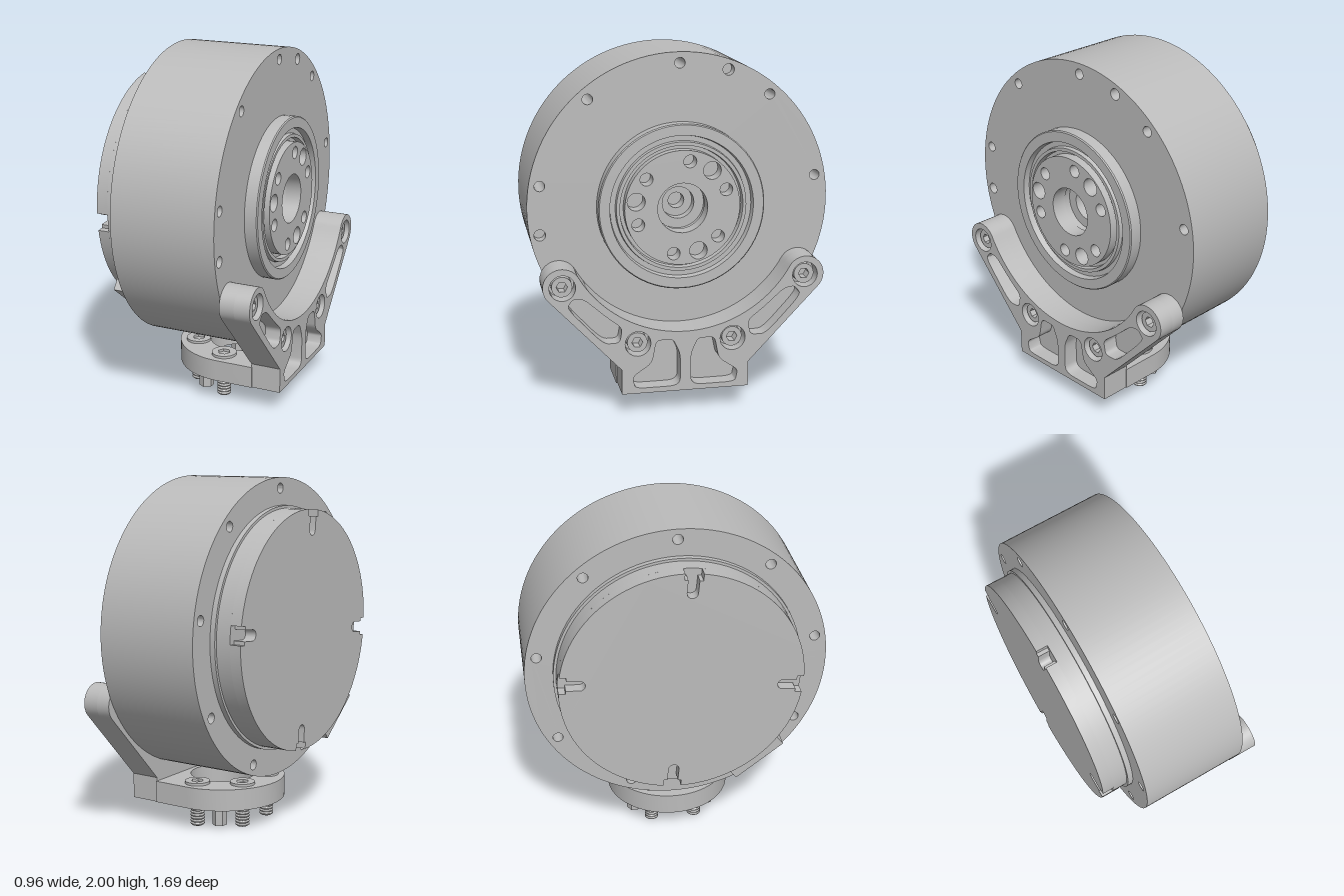
import * as THREE from 'three';
import { toCreasedNormals } from 'three/addons/utils/BufferGeometryUtils.js';

const CY = 1.155; // height of the drum axis
const grey = new THREE.MeshStandardMaterial({ color: 0xbbbbbb });
grey.name = 'metal grey';

const V = (x, y) => new THREE.Vector2(x, y);
const rad = THREE.MathUtils.degToRad;

function arc(cx, cy, r, a0, a1, n) {
  return Array.from({ length: n + 1 }, (_, i) => {
    const a = rad(a0 + ((a1 - a0) * i) / n);
    return V(cx + r * Math.cos(a), cy + r * Math.sin(a));
  });
}
const circle = (cx, cy, r, n = 20) => arc(cx, cy, r, 0, 360, n).slice(0, n);
// point on a bolt circle: angle measured from the top toward +z (shape x is -z)
const polar = (r, deg) => [-r * Math.sin(rad(deg)), CY + r * Math.cos(rad(deg))];

// polygon with softened corners
function rounded(pts, k = 0.3) {
  const out = [];
  pts.forEach((p, i) => {
    const a = p.clone().lerp(pts[(i + pts.length - 1) % pts.length], k);
    const b = p.clone().lerp(pts[(i + 1) % pts.length], k);
    out.push(...new THREE.QuadraticBezierCurve(a, p, b).getPoints(5));
  });
  return out;
}

function extrude(outline, holes, depth) {
  const s = new THREE.Shape(outline);
  s.holes = holes.map((h) => new THREE.Path(h));
  return new THREE.ExtrudeGeometry(s, { depth, bevelEnabled: false });
}
// plate in the zy plane, thick along x
const plateX = (outline, holes, x0, x1) =>
  extrude(outline, holes, x1 - x0).rotateY(Math.PI / 2).translate(x0, 0, 0);
// plate in the xz plane, thick along y
const plateY = (outline, holes, y0, y1) =>
  extrude(outline, holes, y1 - y0).rotateX(Math.PI / 2).translate(0, y1, 0);
// turned part about the drum axis from [radius, x] pairs
const turned = (pts, n = 72) =>
  new THREE.LatheGeometry(pts.map((p) => V(...p)), n).rotateZ(-Math.PI / 2).translate(0, CY, 0);

export function createModel() {
  const model = new THREE.Group();
  model.name = 'driveUnit';
  const add = (name, geo, parent = model) => {
    const m = new THREE.Mesh(toCreasedNormals(geo, 0.5), grey);
    m.name = name;
    parent.add(m);
    return m;
  };

  // Drum with nine through holes, two blind holes and a centre bore
  const through = Array.from({ length: 9 }, (_, i) => circle(...polar(0.785, i * 40), 0.029));
  const blind = [-20, 100].map((a) => polar(0.79, a));
  add('drum', plateX(circle(0, CY, 0.845, 120),
    [...through, ...blind.map((p) => circle(...p, 0.032)), circle(0, CY, 0.145, 40)], -0.3, 0.305));
  blind.forEach((p) => add('blindHoleFloor', plateX(circle(...p, 0.032), [], -0.3, 0.24)));
  add('boreSteps', turned([[0.145, 0.26], [0.09, 0.26], [0.09, 0.2], [0.045, 0.2], [0.045, 0.12], [0, 0.12]], 40));

  // Output flange: outer ring, groove with a seal lip, drilled hub
  add('outputRing', turned([[0.465, 0.3], [0.465, 0.374], [0.459, 0.38], [0.402, 0.38], [0.396, 0.345],
    [0.368, 0.345], [0.364, 0.368], [0.345, 0.368], [0.341, 0.335], [0.315, 0.335]]));
  const small = [-9, 50, 109, 169, -130, -69].map((a) => circle(...polar(0.262, a), 0.036));
  const large = [-39, 80, -160].map((a) => circle(...polar(0.262, a), 0.05));
  add('outputHub', plateX(circle(0, CY, 0.322, 72),
    [...small, ...large, circle(0, CY, 0.14, 40)], 0.3, 0.39));

  // Rear cover with four rim notches
  add('coverSeat', plateX(circle(0, CY, 0.69, 96), [], -0.33, -0.3));
  add('coverBase', plateX(circle(0, CY, 0.675, 96), [], -0.415, -0.33));
  const R = 0.675, rim = [];
  const half = THREE.MathUtils.radToDeg(Math.asin(0.05 / R));
  for (let i = 0; i < 4; i++) {
    const mid = 85 + i * 90 + 10;
    const c = Math.cos(rad(mid)), s = Math.sin(rad(mid));
    const at = (d, w) => V(d * c - w * s, CY + d * s + w * c);
    rim.push(at(0.635, -0.05), at(0.635, -0.03));
    for (let k = 0; k <= 8; k++) {
      const t = rad(-90 + k * 22.5);
      rim.push(at(0.56 - 0.03 * Math.cos(t), 0.03 * Math.sin(t)));
    }
    rim.push(at(0.635, 0.03), at(0.635, 0.05));
    rim.push(...arc(0, CY, R, mid + half, mid + 90 - half, 24));
  }
  add('rearCover', plateX(rim, [], -0.48, -0.415));

  // Cable socket on the cover rim
  const socket = new THREE.Group();
  socket.name = 'cableSocket';
  socket.position.set(-0.385, CY, 0);
  socket.rotation.x = rad(52);
  model.add(socket);
  const rect = (x, y, w, h) => [V(x - w, y - h), V(x + w, y - h), V(x + w, y + h), V(x - w, y + h)];
  add('socketShell', extrude(rect(0, 0, 0.055, 0.17),
    [rect(0, -0.04, 0.042, 0.09), rect(0, 0.115, 0.008, 0.035)], 0.08).translate(0, 0, 0.66), socket);
  add('socketBack', new THREE.BoxGeometry(0.11, 0.34, 0.03).translate(0, 0, 0.655), socket);
  for (const x of [-0.015, 0.015])
    add('socketPin', new THREE.BoxGeometry(0.012, 0.1, 0.05).translate(x, -0.04, 0.69), socket);

  // Mounting bracket: solid back layer and pocketed front layer
  const side = [V(0.36, 0.125), V(0.36, 0.27), ...arc(0.682, 0.765, 0.105, -45, 150.3, 20),
    ...arc(0, CY, 0.681, -29.7, -90, 24).slice(1)];
  const flip = (pts) => pts.map((p) => V(-p.x, p.y)).reverse();
  const outline = [...side, ...flip(side).slice(1)];
  const armPocket = rounded([V(0.66, 0.65), V(0.62, 0.7), V(0.56, 0.69), V(0.45, 0.59),
    V(0.355, 0.515), V(0.37, 0.43), V(0.46, 0.43)]);
  const footPocket = rounded([V(0.03, 0.155), V(0.285, 0.155), V(0.3, 0.225), V(0.19, 0.3),
    V(0.165, 0.43), V(0.07, 0.43), V(0.03, 0.34)], 0.25);
  const bolts = [120, 160, -160, -120].map((a) => polar(0.785, a));
  add('bracketBack', plateX(outline, [], 0.306, 0.39));
  add('bracketFront', plateX(outline, [armPocket, flip(armPocket), footPocket, flip(footPocket),
    ...bolts.map((p) => circle(...p, 0.072, 28))], 0.39, 0.48));
  bolts.forEach((p) =>
    add('bracketScrew', plateX(circle(...p, 0.057, 24), [circle(...p, 0.031, 6)], 0.39, 0.455)));

  // Round foot flange joined to the bracket
  const FX = 0.09;
  const foot = [V(0.31, -0.367), V(0.31, 0.367), ...arc(FX, 0, 0.367, 90, 270, 48)];
  add('footFlange', plateY(foot, [circle(FX, 0, 0.19, 48)], 0.125, 0.25));

  // Foot screws with threads, and hexagonal pins, on one bolt circle
  const thread = [V(0, 0), V(0.03, 0)];
  for (let y = 0.008; y < 0.125; y += 0.017) thread.push(V(0.041, y), V(0.041, y + 0.005), V(0.033, y + 0.012));
  const onFoot = (deg) => [FX + 0.26 * Math.cos(rad(deg)), 0.26 * Math.sin(rad(deg))];
  for (const a of [90, 150, 210, 270]) {
    const [x, z] = onFoot(a);
    add('footScrewThread', new THREE.LatheGeometry(thread, 20).translate(x, 0, z));
    add('footScrewHead', plateY(circle(x, z, 0.072, 28), [circle(x, z, 0.036, 6)], 0.25, 0.265));
  }
  for (const a of [120, 240]) {
    const [x, z] = onFoot(a);
    add('footPin', new THREE.CylinderGeometry(0.042, 0.042, 0.12, 6).translate(x, 0.075, z));
  }
  return model;
}
